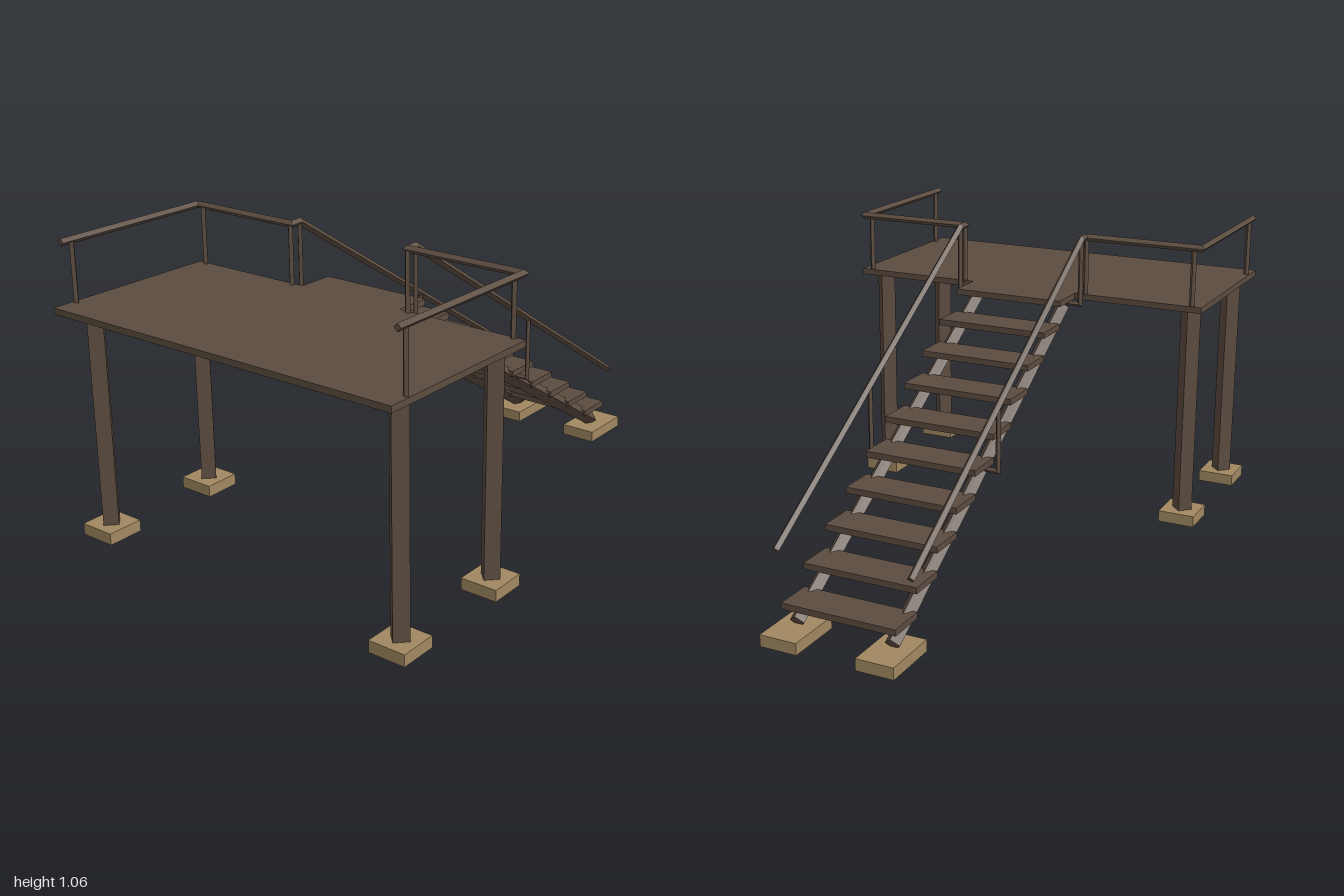
import * as THREE from 'three';

// Square bar, set on edge, swept along a path of points with mitred corners
function barGeometry(path, r) {
  const pts = path.map((p) => new THREE.Vector3(...p));
  const dirs = pts.slice(1).map((p, i) => p.clone().sub(pts[i]).normalize());
  const d0 = dirs[0];
  const u = Math.abs(d0.y) > 0.99
    ? new THREE.Vector3(1, 0, 0)
    : new THREE.Vector3(0, 1, 0).cross(d0).normalize();
  const w = d0.clone().cross(u);
  let ring = [0, 1, 2, 3].map((k) => pts[0].clone()
    .addScaledVector(u, r * Math.round(Math.cos(k * Math.PI / 2)))
    .addScaledVector(w, r * Math.round(Math.sin(k * Math.PI / 2))));
  const pos = [];
  const quad = (a, b, c, d) => [a, b, c, a, c, d].forEach((v) => pos.push(v.x, v.y, v.z));
  quad(ring[0], ring[3], ring[2], ring[1]);
  dirs.forEach((d, i) => {
    const n = d.clone().add(dirs[i + 1] || d).normalize();
    const next = ring.map((v) =>
      v.clone().addScaledVector(d, pts[i + 1].clone().sub(v).dot(n) / d.dot(n)));
    for (let j = 0; j < 4; j++) {
      const k = (j + 1) % 4;
      quad(ring[j], ring[k], next[k], next[j]);
    }
    ring = next;
  });
  quad(...ring);
  const geo = new THREE.BufferGeometry();
  geo.setAttribute('position', new THREE.Float32BufferAttribute(pos, 3));
  geo.computeVertexNormals();
  return geo;
}

export function createModel() {
  const model = new THREE.Group();
  model.name = 'platformWithStairs';

  const wood = new THREE.MeshStandardMaterial({ color: 0x5c4c40 });
  wood.name = 'darkWood';
  const stone = new THREE.MeshStandardMaterial({ color: 0xa08860 });
  stone.name = 'footingStone';

  const add = (name, geo, mat) => {
    const mesh = new THREE.Mesh(geo, mat);
    mesh.name = name;
    model.add(mesh);
    return mesh;
  };
  // Box given by its limits on each axis
  const box = (name, mat, x0, x1, y0, y1, z0, z1) =>
    add(name, new THREE.BoxGeometry(x1 - x0, y1 - y0, z1 - z0), mat)
      .position.set((x0 + x1) / 2, (y0 + y1) / 2, (z0 + z1) / 2);
  const bar = (name, r, ...path) => add(name, barGeometry(path, r), wood);

  // Deck and the top step that joins it
  box('deck', wood, -1, -0.365, 0.825, 0.846, -0.665, 0.665);
  box('topStep', wood, -0.365, -0.235, 0.825, 0.846, -0.2, 0.2);

  // Treads
  for (let i = 0; i < 9; i++) {
    const x = -0.235 + i * 0.129;
    const y = 0.755 - i * 0.0805;
    box('tread', wood, x, x + 0.131, y - 0.0105, y + 0.0105, -0.2, 0.2);
  }

  for (const s of [-1, 1]) {
    // Deck legs on footings
    for (const x of [-0.89, -0.437]) {
      bar('deckLeg', 0.036, [x, 0.08, s * 0.605], [x, 0.828, s * 0.605]);
      box('deckFooting', stone, x - 0.065, x + 0.065, 0.042, 0.082,
        s * 0.605 - 0.065, s * 0.605 + 0.065);
    }

    // Stringer and its footing
    bar('stringer', 0.026, [-0.328, 0.802, s * 0.168], [0.893, 0.051, s * 0.168]);
    box('stairFooting', stone, 0.8, 1, 0, 0.04, s * 0.168 - 0.065, s * 0.168 + 0.065);

    // Handrail around the deck and down the stairs
    bar('handrail', 0.0125,
      [-0.96, 1.048, s * 0.655], [-0.37, 1.048, s * 0.655],
      [-0.37, 1.048, s * 0.235], [-0.33, 1.048, s * 0.235],
      [0.895, 0.275, s * 0.235]);

    // Posts standing on the deck
    for (const [x, z] of [[-0.92, 0.652], [-0.375, 0.627], [-0.373, 0.237]]) {
      bar('deckRailPost', 0.01, [x, 0.84, s * z], [x, 1.045, s * z]);
    }

    // Stair posts that bend in to meet the stringer
    for (const [x, top, foot] of [[-0.33, 1.045, 0.818], [0.318, 0.637, 0.415]]) {
      bar('stairRailPost', 0.009,
        [x, top, s * 0.235], [x, foot, s * 0.235], [x, foot, s * 0.17]);
    }
  }
  return model;
}
